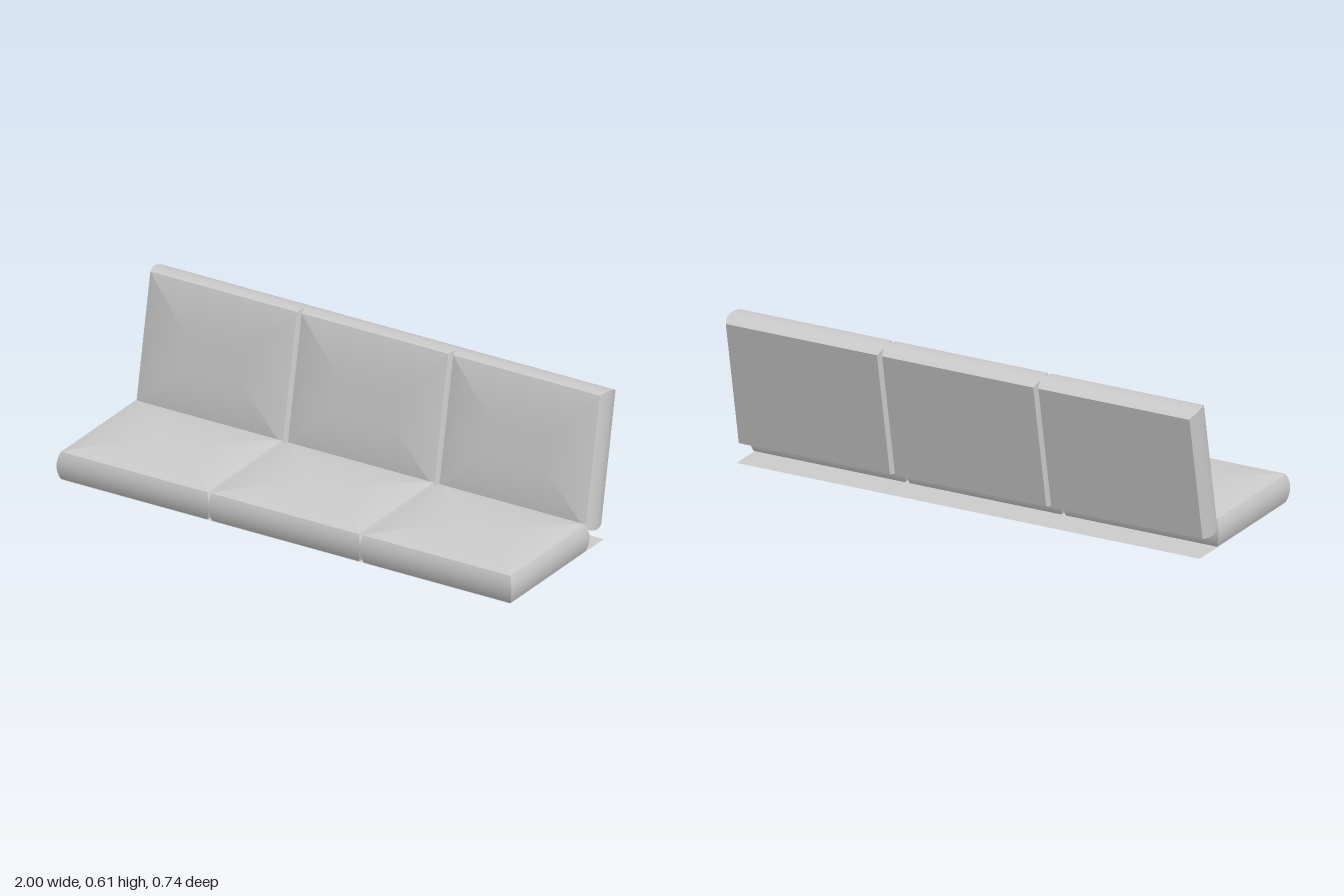
import * as THREE from 'three';
import { mergeGeometries } from 'three/addons/utils/BufferGeometryUtils.js';

const HX = 0.322, HZ = 0.26, THICK = 0.112, BULGE = 0.012, CROWN = 0.016;
const CORNERS = [[1, 1], [1, -1], [-1, -1], [-1, 1]];

// One side of the cushion: sweeps a profile of [inset, height] between two mitred corners.
function sideStrip(profile, side) {
  const a = CORNERS[side], b = CORNERS[(side + 1) % 4];
  const positions = [], index = [];
  profile.forEach(([inset, y], i) => {
    for (const [sx, sz] of [a, b]) positions.push(sx * (HX - inset), y, sz * (HZ - inset));
    if (i > 0) {
      const k = (i - 1) * 2;
      index.push(k, k + 1, k + 3, k, k + 3, k + 2);
    }
  });
  const g = new THREE.BufferGeometry();
  g.setAttribute('position', new THREE.Float32BufferAttribute(positions, 3));
  g.setIndex(index);
  g.computeVertexNormals();
  return g;
}

function sample(n, fn) {
  return Array.from({ length: n + 1 }, (_, i) => fn(i / n));
}

// Flat underside, bulging walls and a hipped, softly crowned top.
function cushionGeometry() {
  const profiles = [
    [[HZ, 0], [0, 0]],
    sample(12, t => [-BULGE * (1 - (2 * t - 1) ** 2), THICK * t]),
    sample(14, t => [HZ * t, THICK + CROWN * (1 - (1 - t) ** 3)]),
  ];
  const strips = [];
  for (const profile of profiles) {
    for (let side = 0; side < 4; side++) strips.push(sideStrip(profile, side));
  }
  return mergeGeometries(strips);
}

export function createModel() {
  const group = new THREE.Group();
  const material = new THREE.MeshStandardMaterial({ color: 0xcccccc });
  const cushion = cushionGeometry();

  // Three seat cushions, each with a matching reclined back cushion
  for (let i = -1; i <= 1; i++) {
    const seat = new THREE.Mesh(cushion, material);
    seat.name = 'seatCushion';
    seat.position.set(i * 0.666, 0.003, 0.101);

    const back = new THREE.Mesh(cushion, material);
    back.name = 'backCushion';
    back.position.set(i * 0.666, 0.328, -0.321);
    back.rotation.x = THREE.MathUtils.degToRad(79);
    group.add(seat, back);
  }

  // Thin base sheet reaching out behind the seat
  const sheet = new THREE.PlaneGeometry(1.975, 0.65).rotateX(-Math.PI / 2);
  const base = new THREE.Mesh(sheet, new THREE.MeshStandardMaterial({ color: 0xcccccc, side: THREE.DoubleSide }));
  base.name = 'baseSheet';
  base.position.z = 0.035;
  group.add(base);
  return group;
}
